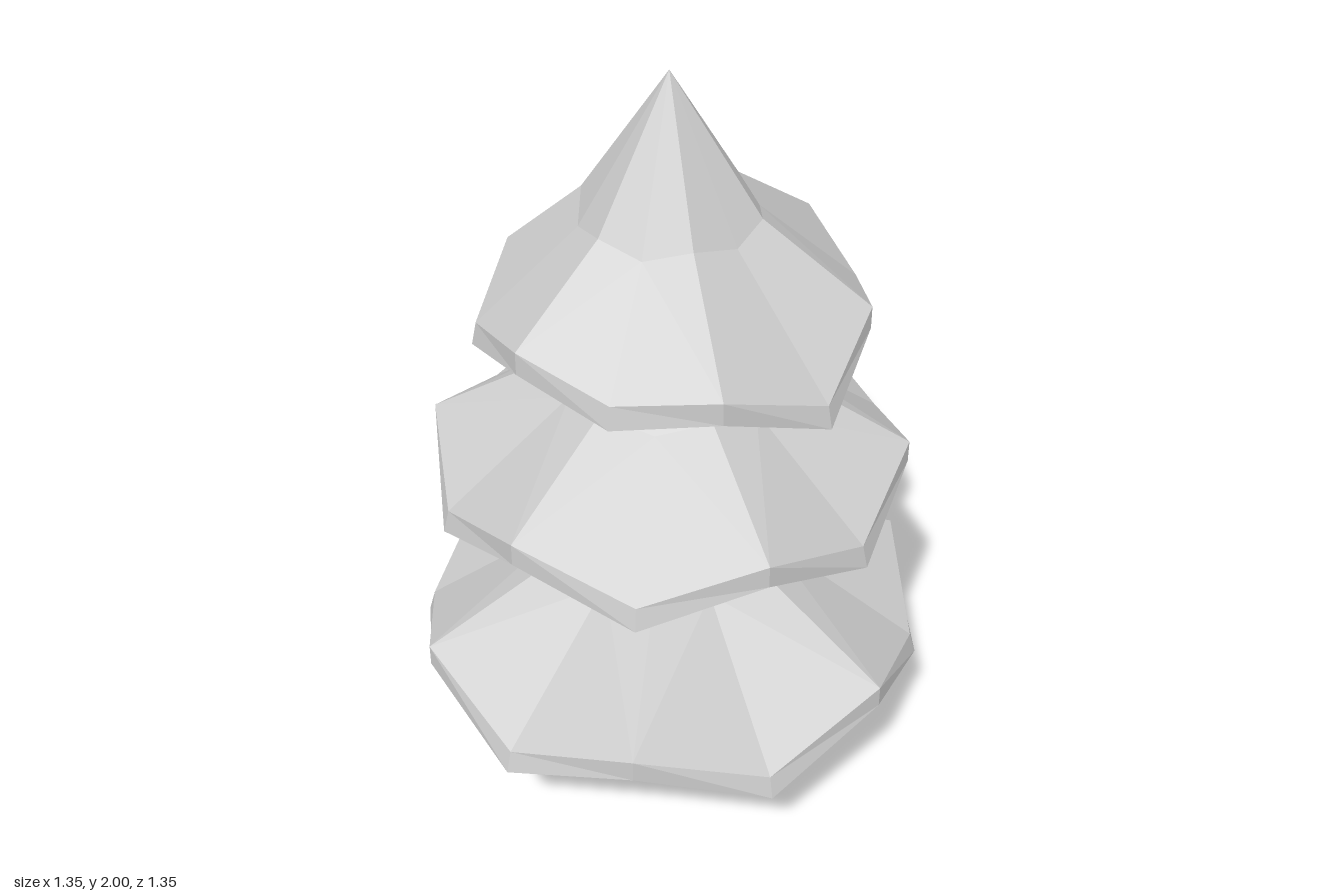
import * as THREE from 'three';

const material = new THREE.MeshStandardMaterial({ color: 0xcccccc, flatShading: true });
const trunkMaterial = new THREE.MeshStandardMaterial({ color: 0xcccccc });
const RIM = 0.06; // thickness of the foliage edge

// Point at an angle in degrees, measured from +z towards +x
const polar = (deg, r, y) => {
  const a = THREE.MathUtils.degToRad(deg);
  return [r * Math.sin(a), y, r * Math.cos(a)];
};

// A flared, scalloped skirt: apex, waist ring, rim and a shallow underside.
// rim: [angle, radius, top y]; even entries are ridges, odd ones drooping tips.
function foliage(name, { rim, waistR, waistY, apexY, centreY }) {
  const apex = [0, apexY, 0];
  const centre = [0, centreY, 0];
  const waist = rim.map(([a], i) =>
    polar(a, waistR - (i % 2) * 0.008, waistY - (i % 2) * 0.03));
  const top = rim.map(([a, r, y], i) => polar(a, i % 2 ? r * 0.975 : r, y));
  const bottom = rim.map(([a, r, y]) => polar(a, r, y - RIM));

  const pos = [];
  const tri = (...corners) => corners.forEach((c) => pos.push(...c));
  const quad = (a, b, c, d) => { tri(a, b, c); tri(a, c, d); };
  const flip = (a, b, c, d) => { tri(a, b, d); tri(b, c, d); };

  for (let i = 0; i < rim.length; i++) {
    const j = (i + 1) % rim.length;
    tri(apex, waist[i], waist[j]);
    // diagonals always run from a ridge on the rim to the waist above a tip
    (i % 2 ? quad : flip)(waist[i], top[i], top[j], waist[j]);
    quad(top[i], bottom[i], bottom[j], top[j]);
    tri(centre, bottom[j], bottom[i]);
  }

  const geometry = new THREE.BufferGeometry();
  geometry.setAttribute('position', new THREE.Float32BufferAttribute(pos, 3));
  geometry.computeVertexNormals();
  const mesh = new THREE.Mesh(geometry, material);
  mesh.name = name;
  return mesh;
}

// Even twelve-point rim alternating between ridge and tip heights
const evenRim = (start, r, ridgeY, tipY) =>
  Array.from({ length: 12 }, (_, i) => [start + i * 30, r, i % 2 ? tipY : ridgeY]);

export function createModel() {
  const tree = new THREE.Group();
  tree.name = 'pineTree';

  // Trunk, slightly tapered and a little forward of centre
  const trunk = new THREE.Mesh(new THREE.CylinderGeometry(0.064, 0.071, 0.5, 8), trunkMaterial);
  trunk.position.set(0, 0.25, 0.015);
  trunk.name = 'trunk';
  tree.add(trunk);

  tree.add(foliage('lowerFoliage', {
    rim: evenRim(0, 0.677, 0.48, 0.365),
    waistR: 0.28, waistY: 0.685, apexY: 1.0, centreY: 0.43,
  }));

  tree.add(foliage('middleFoliage', {
    rim: evenRim(30, 0.61, 1.015, 0.91),
    waistR: 0.275, waistY: 1.2, apexY: 1.48, centreY: 0.96,
  }));

  // Crown: turned, uneven, with one tip missing to leave a notch at the back
  tree.add(foliage('topFoliage', {
    rim: [
      [20, 0.5, 1.465], [50, 0.485, 1.395], [80.5, 0.487, 1.465], [110.5, 0.483, 1.395],
      [140, 0.483, 1.465], [167, 0.253, 1.42], [195, 0.434, 1.465], [231, 0.487, 1.395],
      [262, 0.49, 1.465], [291, 0.485, 1.395], [321.5, 0.5, 1.425], [353, 0.528, 1.33],
    ],
    waistR: 0.228, waistY: 1.655, apexY: 2, centreY: 1.43,
  }));

  return tree;
}
